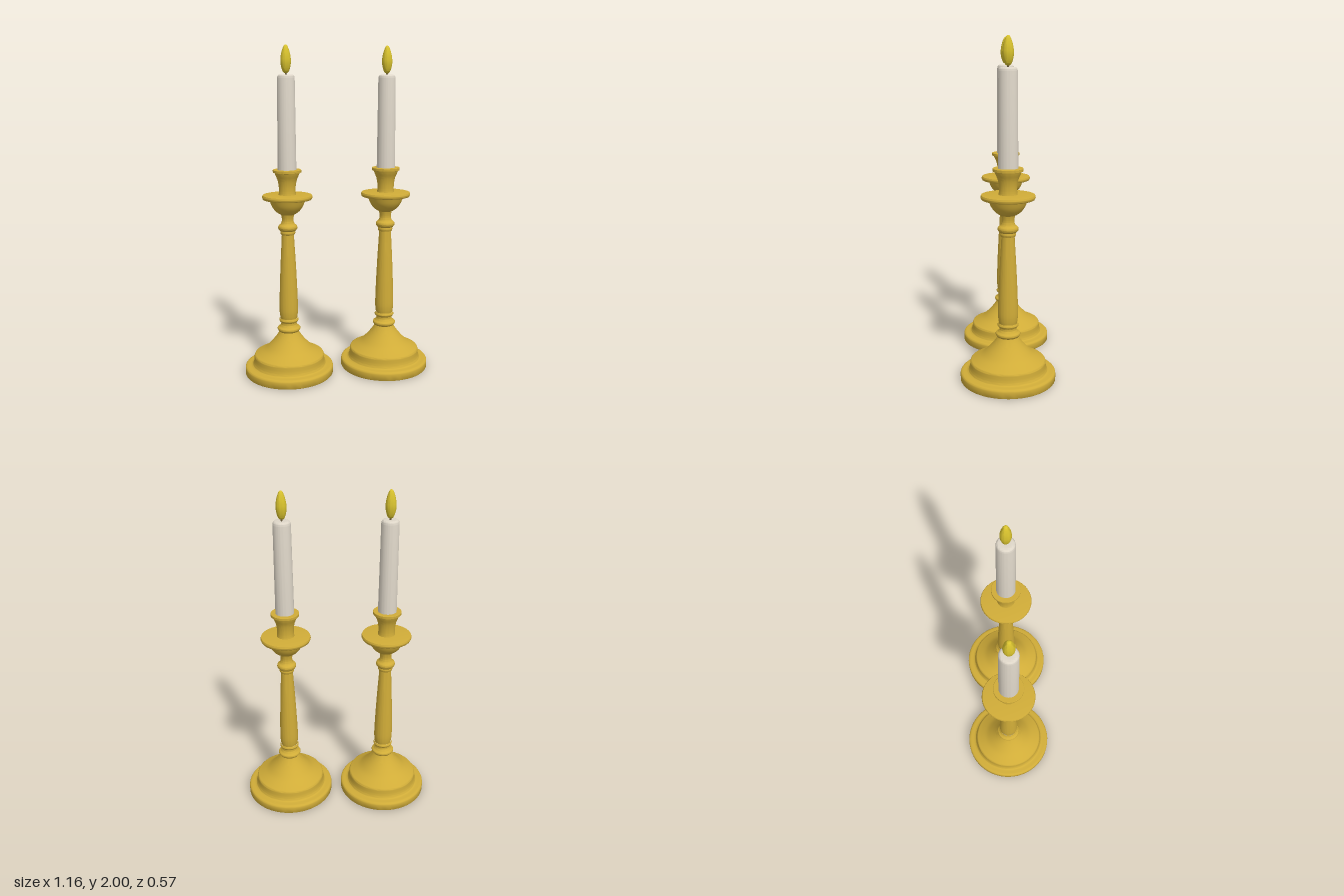
import * as THREE from 'three';
import { toCreasedNormals } from 'three/addons/utils/BufferGeometryUtils.js';

const brass = new THREE.MeshStandardMaterial({ color: 0xd0ac38 });
brass.name = 'brass';
const wax = new THREE.MeshStandardMaterial({ color: 0xded6c8 });
wax.name = 'wax';
const wickColor = new THREE.MeshStandardMaterial({ color: 0x6a5c40 });
wickColor.name = 'wick';
const flameColor = new THREE.MeshStandardMaterial({ color: 0xd8c22e });
flameColor.name = 'flame';

// Smooth run of [radius, y] points for a lathe profile
function curve(points, n = 4) {
  const c = new THREE.SplineCurve(points.map(([r, y]) => new THREE.Vector2(r, y)));
  return c.getPoints((points.length - 1) * n).map((p) => [Math.max(p.x, 0), p.y]);
}

function turned(name, profile, material, segments = 56) {
  const pts = profile.map(([r, y]) => new THREE.Vector2(r, y));
  const mesh = new THREE.Mesh(toCreasedNormals(new THREE.LatheGeometry(pts, segments), 0.7), material);
  mesh.name = name;
  return mesh;
}

function candlestick(name) {
  const g = new THREE.Group();
  g.name = name;

  // Stepped foot flaring up into the stem
  g.add(turned('foot', [
    [0, 0], [0.28, 0], [0.283, 0.004], [0.283, 0.038],
    ...curve([[0.281, 0.046], [0.272, 0.052], [0.24, 0.056], [0.231, 0.066], [0.226, 0.085], [0.224, 0.112]]),
    ...curve([[0.22, 0.12], [0.19, 0.135], [0.152, 0.158], [0.118, 0.19], [0.09, 0.222], [0.07, 0.25], [0.06, 0.268]]),
  ], brass));

  // Two rings below the column
  g.add(turned('lowerRings', [
    [0.055, 0.266],
    ...curve([[0.064, 0.268], [0.073, 0.281], [0.071, 0.291], [0.058, 0.3], [0.05, 0.313], [0.05, 0.325]]),
    ...curve([[0.056, 0.328], [0.062, 0.34], [0.056, 0.352]]),
  ], brass));

  // Tapering column
  g.add(turned('column', curve([
    [0.053, 0.35], [0.057, 0.375], [0.059, 0.42], [0.055, 0.55], [0.048, 0.7], [0.041, 0.82], [0.038, 0.878],
  ]), brass));

  // Collar under the pan
  g.add(turned('upperRings', [
    [0.037, 0.876],
    ...curve([[0.043, 0.878], [0.047, 0.888], [0.045, 0.9]]),
    ...curve([[0.05, 0.902], [0.06, 0.916], [0.057, 0.932], [0.044, 0.943], [0.037, 0.96], [0.037, 0.98], [0.041, 1.0]]),
  ], brass));

  // Bowl and wide drip pan
  g.add(turned('dripPan', [
    [0.036, 0.998],
    ...curve([[0.05, 1.004], [0.076, 1.023], [0.098, 1.053], [0.112, 1.09]]),
    [0.15, 1.094], ...curve([[0.152, 1.095], [0.157, 1.107], [0.153, 1.119]]), [0.148, 1.12], [0.05, 1.122],
  ], brass));

  // Flared candle socket
  g.add(turned('socket', [
    ...curve([[0.055, 1.12], [0.052, 1.14], [0.053, 1.175], [0.06, 1.21], [0.072, 1.238], [0.078, 1.254]]),
    [0.088, 1.256], [0.088, 1.27], [0.086, 1.272], [0.05, 1.272],
  ], brass));

  g.add(turned('candle', [
    [0.058, 1.262], [0.0535, 1.808],
    ...curve([[0.0535, 1.808], [0.05, 1.822], [0.04, 1.829], [0.012, 1.829], [0, 1.827]]),
  ], wax));

  const wick = new THREE.Mesh(new THREE.CylinderGeometry(0.006, 0.006, 0.03, 10), wickColor);
  wick.name = 'wick';
  wick.position.y = 1.837;
  g.add(wick);

  // Teardrop flame
  g.add(turned('flame', curve([
    [0, 1.836], [0.015, 1.842], [0.026, 1.867], [0.032, 1.902], [0.029, 1.938], [0.02, 1.972], [0.01, 1.994], [0, 2],
  ]), flameColor, 32));

  g.scale.x = 0.965;
  return g;
}

export function createModel() {
  const model = new THREE.Group();
  model.name = 'candlestickPair';
  for (const [name, side] of [['leftCandlestick', 1], ['rightCandlestick', -1]]) {
    const stick = candlestick(name);
    stick.position.x = side * 0.305;
    model.add(stick);
  }
  return model;
}
